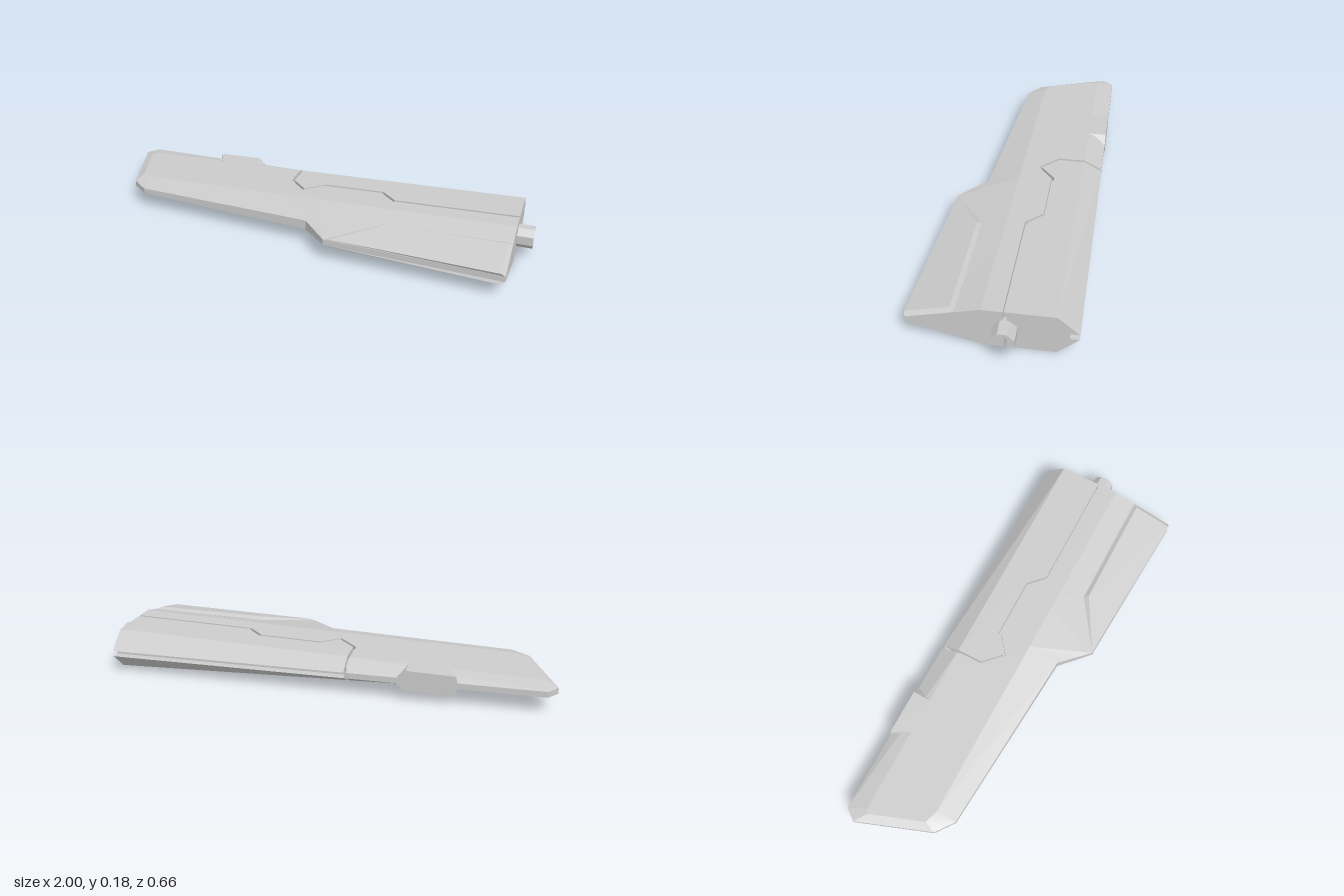
import * as THREE from 'three';
import { toCreasedNormals } from 'three/addons/utils/BufferGeometryUtils.js';

const MID = 0.0875;                                // height of the symmetry plane
const EDGE = 0.0125;                               // half thickness of the thin rim
const half = (x) => 0.0588 + 0.0309 * x;           // half thickness tapers along the blade
const material = new THREE.MeshStandardMaterial({ color: 0xcccccc });

// Mirrored slab: each point has a rim [x, z, y], a top ridge [x, z, y] and an optional inner [x, z]
// that hollows the rim into a channel. Ridge defaults to a vertical wall above the rim.
function slab(name, points, height = half) {
  const area = (p) => p.reduce((s, a, i) => {
    const b = p[(i + 1) % p.length];
    return s + a[1] * b[0] - a[0] * b[1];
  }, 0);
  let loop = points.map(({ rim, ridge = [rim[0], rim[1]], inner = rim }) => {
    const e = rim[2] ?? EDGE, h = ridge[2] ?? height(ridge[0]);
    return [[ridge, h], [rim, e], [inner, e], [inner, -e], [rim, -e], [ridge, -h]]
      .map(([p, y]) => [p[0], MID + y, p[1]]);
  });
  if (area(loop.map((r) => [r[0][0], r[0][2]])) < 0) loop = loop.reverse();

  const pos = [];
  const tri = (...v) => v.forEach((p) => pos.push(...p));
  // side bands, from the upper ridge down to the lower ridge
  loop.forEach((a, i) => {
    const b = loop[(i + 1) % loop.length];
    for (let k = 0; k < 5; k++) {
      tri(a[k], a[k + 1], b[k + 1]);
      tri(a[k], b[k + 1], b[k]);
    }
  });
  // top and bottom faces
  const flat = loop.map((r) => new THREE.Vector2(r[0][0], -r[0][2]));
  for (let [a, b, c] of THREE.ShapeUtils.triangulateShape(flat, [])) {
    if (THREE.ShapeUtils.area([flat[a], flat[b], flat[c]]) < 0) [b, c] = [c, b];
    tri(loop[a][0], loop[b][0], loop[c][0]);
    tri(loop[a][5], loop[c][5], loop[b][5]);
  }
  const geo = new THREE.BufferGeometry();
  geo.setAttribute('position', new THREE.Float32BufferAttribute(pos, 3));
  const mesh = new THREE.Mesh(toCreasedNormals(geo, 0.15), material);
  mesh.name = name;
  return mesh;
}

export function createModel() {
  const group = new THREE.Group();
  group.name = 'blade';

  // main blade with bevelled tip and edges, notched behind for the rear module
  group.add(slab('mainBlade', [
    { rim: [-0.137, -0.33], ridge: [-0.137, -0.25] },
    { rim: [-0.96, -0.33], ridge: [-0.93, -0.25] },
    { rim: [-1, -0.28], ridge: [-0.945, -0.235] },
    { rim: [-0.88, 0.05], ridge: [-0.86, 0.0] },
    { rim: [-0.8, 0.11], ridge: [-0.8, 0.02] },
    { rim: [0.04, 0.17, 0.022], ridge: [0.04, 0.028] },
    { rim: [0.16, 0.287], ridge: [0.25, 0.03] },
    { rim: [0.93, 0.322], ridge: [0.93, 0.036] },
    { rim: [0.93, -0.047] },
    { rim: [0.375, -0.047] },
    { rim: [0.305, -0.116] },
    { rim: [0.035, -0.116] },
    { rim: [-0.052, -0.047] },
    { rim: [-0.137, -0.13] },
  ]));

  // rear module, with a channel along its trailing edge
  group.add(slab('rearModule', [
    { rim: [-0.125, -0.33], ridge: [-0.125, -0.25], inner: [-0.125, -0.293] },
    { rim: [-0.125, -0.135] },
    { rim: [-0.05, -0.061] },
    { rim: [0.03, -0.128] },
    { rim: [0.31, -0.128] },
    { rim: [0.38, -0.06] },
    { rim: [0.93, -0.06] },
    { rim: [0.93, -0.33], ridge: [0.93, -0.247], inner: [0.93, -0.293] },
  ]));

  // core that closes the bottom of the panel gap
  group.add(slab('core', [
    { rim: [-0.2, -0.28] }, { rim: [0.91, -0.28] }, { rim: [0.91, 0] }, { rim: [-0.2, 0] },
  ].map(({ rim }) => ({ rim, ridge: [rim[0], rim[1] < -0.1 ? -0.24 : 0] })),
  (x) => half(x) - 0.02));

  // raised panel on the leading edge
  group.add(slab('leadingPanel', [
    { rim: [0.16, 0.289, 0.012], ridge: [0.19, 0.289, 0.018] },
    { rim: [0.38, 0.135, 0.046], ridge: [0.39, 0.155, 0.058] },
    { rim: [0.928, 0.135, 0.06], ridge: [0.912, 0.155, 0.068] },
    { rim: [0.928, 0.325, 0.0125], ridge: [0.912, 0.33, 0.0245] },
  ]));

  // block on the trailing edge near the tip
  group.add(slab('edgeBlock', [
    { rim: [-0.6, -0.331], ridge: [-0.595, -0.331] },
    { rim: [-0.56, -0.25], ridge: [-0.555, -0.25] },
    { rim: [-0.38, -0.25], ridge: [-0.388, -0.25] },
    { rim: [-0.35, -0.331], ridge: [-0.388, -0.331] },
  ], (x) => half(x) + 0.0005));

  // eight-sided open spigot at the root
  const tube = new THREE.CylinderGeometry(0.049, 0.049, 0.09, 8, 1, true, Math.PI / 8);
  const spigot = new THREE.Mesh(toCreasedNormals(tube.rotateZ(-Math.PI / 2), 0.3), material);
  spigot.position.set(0.955, MID, -0.055);
  spigot.name = 'rootSpigot';
  group.add(spigot);

  return group;
}
